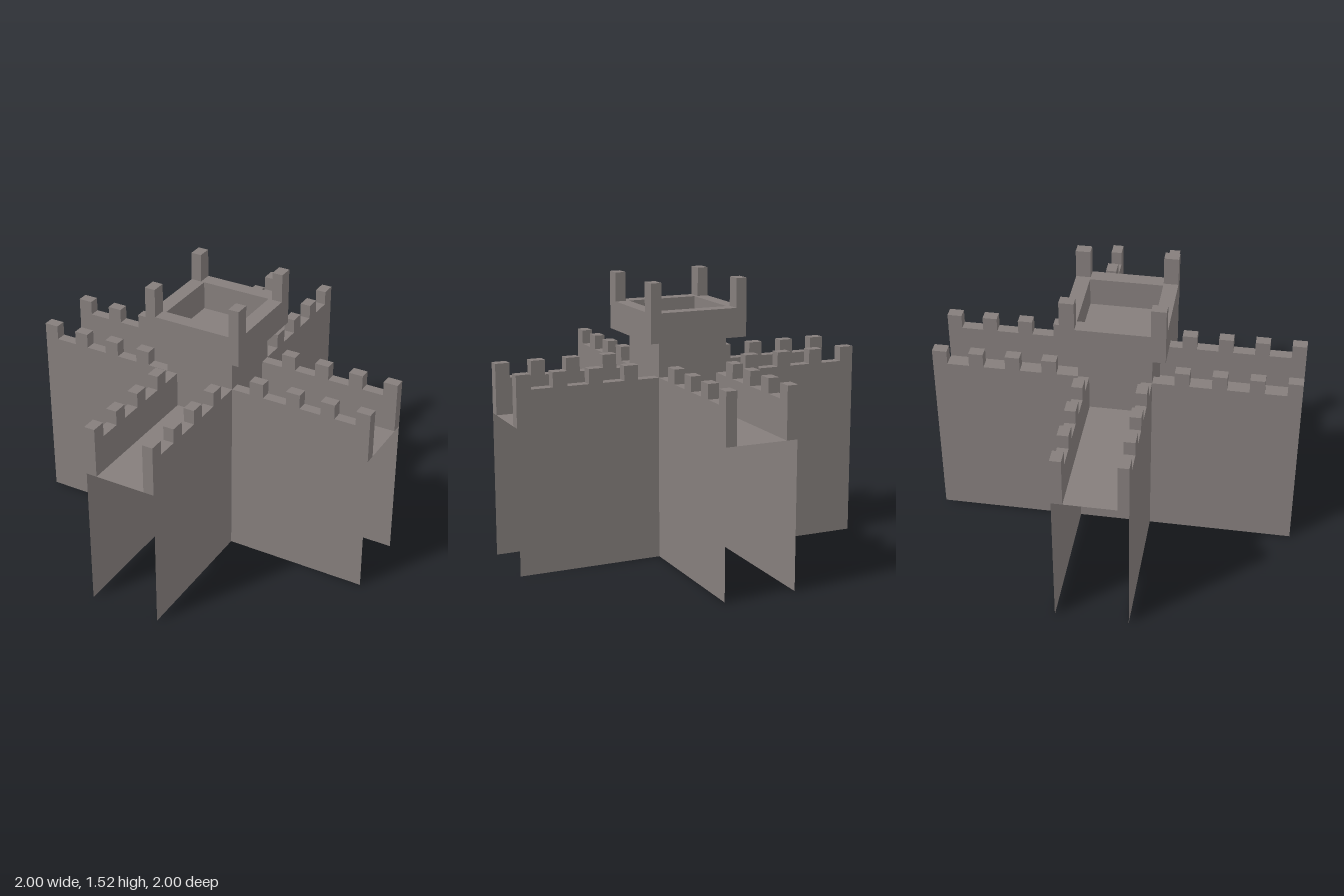
import * as THREE from 'three';

const stone = new THREE.MeshStandardMaterial({ color: 0x857e7c, side: THREE.DoubleSide });
stone.name = 'stone';

// Box given by its minimum and maximum corners
function box(parent, name, x0, x1, y0, y1, z0, z1) {
  const mesh = new THREE.Mesh(new THREE.BoxGeometry(x1 - x0, y1 - y0, z1 - z0), stone);
  mesh.position.set((x0 + x1) / 2, (y0 + y1) / 2, (z0 + z1) / 2);
  mesh.name = name;
  parent.add(mesh);
}

// Single-sheet panel
function sheet(parent, name, w, h, x, y, z, flat = false) {
  const geo = new THREE.PlaneGeometry(w, h);
  if (flat) geo.rotateX(-Math.PI / 2);
  const mesh = new THREE.Mesh(geo, stone);
  mesh.position.set(x, y, z);
  mesh.name = name;
  parent.add(mesh);
}

const HALF = 0.2, THICK = 0.06, WALK = 0.8, WALL = 1.0, MERLON = 1.08;

// One wall arm running out along +x: walkway, parapets and merlons
function createArm(name) {
  const arm = new THREE.Group();
  arm.name = name;
  sheet(arm, 'walkway', 1 - HALF, 2 * HALF, (1 + HALF) / 2, WALK, 0, true);
  for (const s of [-1, 1]) {
    const z0 = s > 0 ? HALF - THICK : -HALF;
    const z1 = z0 + THICK;
    box(arm, 'parapet', HALF, 1, WALK, WALL, z0, z1);
    for (const end of [0.4, 0.6, 0.8, 1.0]) {
      // the innermost merlon of one row sits slightly closer to the tower
      const shift = name === 'leftArm' && s > 0 && end === 0.4 ? 0.015 : 0;
      box(arm, 'merlon', end - 0.08 - shift, end - shift, WALL, MERLON, z0, z1);
    }
  }
  return arm;
}

export function createModel() {
  const castle = new THREE.Group();
  castle.name = 'castle';

  // Four arms in a cross
  ['leftArm', 'backArm', 'rightArm', 'frontArm'].forEach((name, i) => {
    const arm = createArm(name);
    arm.rotation.y = i * Math.PI / 2;
    castle.add(arm);
  });

  // Thin lower wall sheets crossing through the centre, open at ends and base
  for (const angle of [0, Math.PI / 2]) {
    const walls = new THREE.Group();
    walls.name = 'lowerWalls';
    walls.rotation.y = angle;
    for (const s of [-1, 1]) sheet(walls, 'wallSheet', 2, WALK, 0, WALK / 2, s * HALF);
    castle.add(walls);
  }

  // Central tower shaft; its top is the sunken roof floor
  const tower = new THREE.Group();
  tower.name = 'tower';
  box(tower, 'towerShaft', -HALF, HALF, WALK, 1.2, -HALF, HALF);

  // Overhanging rim and corner posts
  const R = 0.28, RIM = 1.36;
  for (const s of [-1, 1]) {
    const a = s > 0 ? HALF : -R, b = s > 0 ? R : -HALF;
    box(tower, 'rim', -R, R, 1.2, RIM, a, b);
    box(tower, 'rim', a, b, 1.2, RIM, -HALF, HALF);
    for (const t of [-1, 1]) {
      const x0 = t > 0 ? R - THICK : -R;
      box(tower, 'cornerPost', x0, x0 + THICK, RIM, 1.52, a, b);
    }
  }
  castle.add(tower);
  return castle;
}
